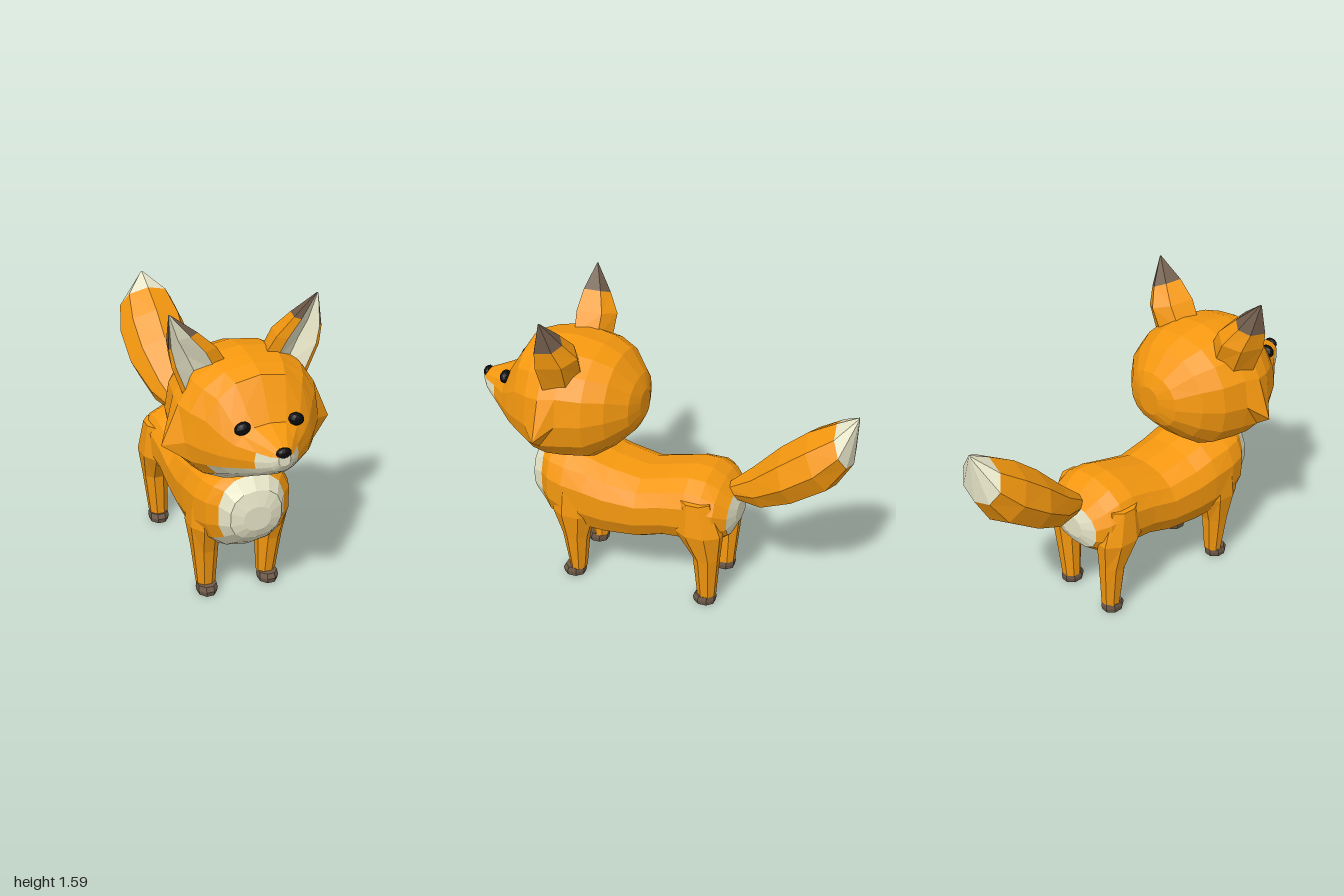
import * as THREE from 'three';

const mat = (color) => new THREE.MeshStandardMaterial({ color, flatShading: true });
const MATS = {
  orange: mat(0xf5980f), cream: mat(0xe6e4c6), brown: mat(0x6e5a49), black: mat(0x0a0a0a),
};

// Skins a list of closed rings (arrays of Vector3), capping both ends.
// colour(i, j) names the material of side j in band i; i = -1 and i = last are the caps.
function loft(name, rings, colour) {
  const tris = [];
  const add = (c, a, b, d) => tris.push([c, a, b, d]);
  const n = rings[0].length, last = rings.length - 1;
  const centre = (r) => r.reduce((s, p) => s.add(p), new THREE.Vector3()).divideScalar(n);
  for (let j = 0; j < n; j++) {
    const k = (j + 1) % n;
    for (let i = 0; i < last; i++) {
      const [a, b, c, d] = [rings[i][j], rings[i][k], rings[i + 1][k], rings[i + 1][j]];
      const col = colour(i, j);
      if (j < n / 2) { add(col, a, b, c); add(col, a, c, d); }
      else { add(col, a, b, d); add(col, b, c, d); }
    }
    add(colour(-1, j), centre(rings[0]), rings[0][k], rings[0][j]);
    add(colour(last, j), centre(rings[last]), rings[last][j], rings[last][k]);
  }
  // Turn every face outwards
  const volume = tris.reduce((s, [, a, b, c]) => s + a.dot(b.clone().cross(c)), 0);
  const group = new THREE.Group();
  group.name = name;
  for (const key of Object.keys(MATS)) {
    const pts = tris.filter((t) => t[0] === key)
      .flatMap(([, a, b, c]) => (volume > 0 ? [a, b, c] : [a, c, b]));
    if (!pts.length) continue;
    const geo = new THREE.BufferGeometry().setFromPoints(pts);
    geo.computeVertexNormals();
    const mesh = new THREE.Mesh(geo, MATS[key]);
    mesh.name = `${name} ${key}`;
    group.add(mesh);
  }
  return group;
}

// Upright rounded cross-section at depth z, starting from its top point
function section([z, top, bottom, w, mid], n, e) {
  const pw = (v) => Math.sign(v) * Math.abs(v) ** e;
  return Array.from({ length: n }, (_, j) => {
    const a = (j / n) * Math.PI * 2, c = Math.cos(a);
    return new THREE.Vector3(w * pw(Math.sin(a)), mid + pw(c) * (c > 0 ? top - mid : mid - bottom), z);
  });
}

// Level cross-section for legs and feet
function levelRing([y, x, z, rx, rz], side, n = 8) {
  return Array.from({ length: n }, (_, j) => {
    const a = ((j + 0.5) / n) * Math.PI * 2;
    return new THREE.Vector3(side * (x + rx * 1.06 * Math.cos(a)), y, z + rz * 1.06 * Math.sin(a));
  });
}

function makeHead() {
  // z, top, bottom, half width, height of widest point
  const rings = [
    [0.10, 1.11, 0.96, 0.07, 1.04], [0.13, 1.18, 0.90, 0.17, 1.04], [0.22, 1.29, 0.81, 0.275, 1.04],
    [0.32, 1.335, 0.74, 0.335, 1.03], [0.45, 1.36, 0.73, 0.36, 1.02], [0.54, 1.355, 0.735, 0.37, 1.0],
    [0.62, 1.345, 0.745, 0.34, 0.99], [0.70, 1.32, 0.79, 0.285, 0.98], [0.77, 1.21, 0.83, 0.235, 0.98],
    [0.82, 1.13, 0.86, 0.185, 0.98], [0.90, 1.10, 0.905, 0.11, 0.99], [0.965, 1.075, 0.955, 0.06, 1.01],
    [0.99, 1.06, 0.995, 0.03, 1.03],
  ].map((r) => section(r, 16, 0.88));
  // Pointed cheeks
  rings[5][4].set(0.43, 0.95, 0.54);
  rings[5][12].set(-0.43, 0.95, 0.54);
  return loft('head', rings, (i, j) => {
    const under = Math.min(j, 15 - j); // 0 at the top, 7 underneath
    const from = i >= 10 ? 3 : i >= 7 ? 5 : i >= 6 ? 6 : 99;
    return i === 12 || under >= from ? 'cream' : 'orange';
  });
}

function makeBody() {
  const rings = [
    [0.70, 0.61, 0.48, 0.07, 0.55], [0.68, 0.69, 0.43, 0.135, 0.55], [0.62, 0.75, 0.365, 0.175, 0.55],
    [0.57, 0.76, 0.325, 0.225, 0.55], [0.48, 0.76, 0.285, 0.255, 0.54], [0.35, 0.74, 0.265, 0.265, 0.53],
    [0.25, 0.705, 0.265, 0.26, 0.51], [0.08, 0.67, 0.28, 0.245, 0.5], [-0.06, 0.705, 0.325, 0.24, 0.53],
    [-0.18, 0.735, 0.33, 0.245, 0.55], [-0.27, 0.73, 0.33, 0.25, 0.55], [-0.34, 0.69, 0.355, 0.235, 0.54],
    [-0.40, 0.63, 0.395, 0.18, 0.52], [-0.425, 0.57, 0.45, 0.09, 0.51],
  ].map((r) => section(r, 14, 0.85));
  return loft('body', rings, (i, j) => {
    const under = Math.min(j, 13 - j);
    return i < 2 || i >= 12 || under >= (i < 5 ? 5 : 6) ? 'cream' : 'orange';
  });
}

function makeTail() {
  // Upper z, upper y, lower z, lower y, half width
  const rings = [
    [-0.35, 0.655, -0.40, 0.575, 0.045], [-0.48, 0.78, -0.56, 0.57, 0.12], [-0.62, 0.93, -0.73, 0.65, 0.18],
    [-0.75, 1.04, -0.91, 0.77, 0.185], [-0.89, 1.12, -0.99, 0.91, 0.15], [-0.997, 1.175, -1.0, 1.15, 0.012],
  ].map(([uz, uy, lz, ly, w]) => Array.from({ length: 8 }, (_, j) => {
    const a = (j / 8) * Math.PI * 2, t = (1 - Math.cos(a)) / 2;
    return new THREE.Vector3(w * Math.sin(a), uy + (ly - uy) * t, uz + (lz - uz) * t);
  }));
  return loft('tail', rings, (i) => (i >= 4 ? 'cream' : 'orange'));
}

function makeEar(side) {
  // Inner edge x, y; outer edge x, y; front z; depth
  const rows = [
    [0.09, 1.31, 0.31, 1.18, 0.52, 0.16], [0.15, 1.41, 0.37, 1.34, 0.53, 0.18],
    [0.24, 1.495, 0.382, 1.43, 0.525, 0.12], [0.364, 1.59, 0.372, 1.588, 0.50, 0.005],
  ];
  // Outline: rounded back shell, then rim, hollow and rim on the front
  const outline = [[0, 0], [0.13, 0.7], [0.5, 1], [0.87, 0.7], [1, 0], [0.92, -0.04], [0.6, 0.25], [0.25, -0.04]];
  const rings = rows.map(([ax, ay, bx, by, z, d]) => outline.map(([s, back]) =>
    new THREE.Vector3(side * (ax + (bx - ax) * s), ay + (by - ay) * s, z - d * back)));
  return loft(side > 0 ? 'leftEar' : 'rightEar', rings, (i, j) => {
    if (j === 5 || j === 6) return 'cream';
    return i >= 2 ? 'brown' : 'orange';
  });
}

function makeLeg(name, side, rows, footZ) {
  const leg = new THREE.Group();
  leg.name = name;
  leg.add(loft(`${name} limb`, rows.map((r) => levelRing(r, side)), () => 'orange'));
  const foot = [[0.005, 0.167, footZ, 0.048, 0.055], [0.03, 0.167, footZ, 0.052, 0.06],
    [0.055, 0.167, footZ - 0.005, 0.048, 0.052]];
  leg.add(loft(`${name} foot`, foot.map((r) => levelRing(r, side)), () => 'brown'));
  return leg;
}

function ball(name, x, y, z, rx, ry, rz, tilt = 0) {
  const mesh = new THREE.Mesh(new THREE.SphereGeometry(1, 12, 8), MATS.black);
  mesh.name = name;
  mesh.position.set(x, y, z);
  mesh.scale.set(rx, ry, rz);
  mesh.rotation.z = tilt;
  return mesh;
}

export function createModel() {
  const model = new THREE.Group();
  model.name = 'fox';
  model.add(makeHead(), makeBody(), makeTail(), ball('nose', 0, 1.057, 0.978, 0.038, 0.026, 0.022));
  // Leg rows: y, x, z, half width, half depth
  const front = [[0.60, 0.19, 0.43, 0.06, 0.09], [0.42, 0.183, 0.43, 0.078, 0.115],
    [0.27, 0.173, 0.43, 0.066, 0.07], [0.05, 0.165, 0.427, 0.048, 0.042]];
  const back = [[0.64, 0.19, -0.24, 0.06, 0.08], [0.46, 0.192, -0.26, 0.08, 0.125],
    [0.30, 0.18, -0.3, 0.064, 0.068], [0.05, 0.165, -0.3, 0.048, 0.047]];
  for (const side of [1, -1]) {
    const label = side > 0 ? 'left' : 'right';
    model.add(
      makeEar(side),
      ball(`${label}Eye`, side * 0.133, 1.122, 0.812, 0.04, 0.031, 0.028, side * -0.3),
      makeLeg(`${label}FrontLeg`, side, front, 0.45),
      makeLeg(`${label}BackLeg`, side, back, -0.29),
    );
  }
  return model;
}
